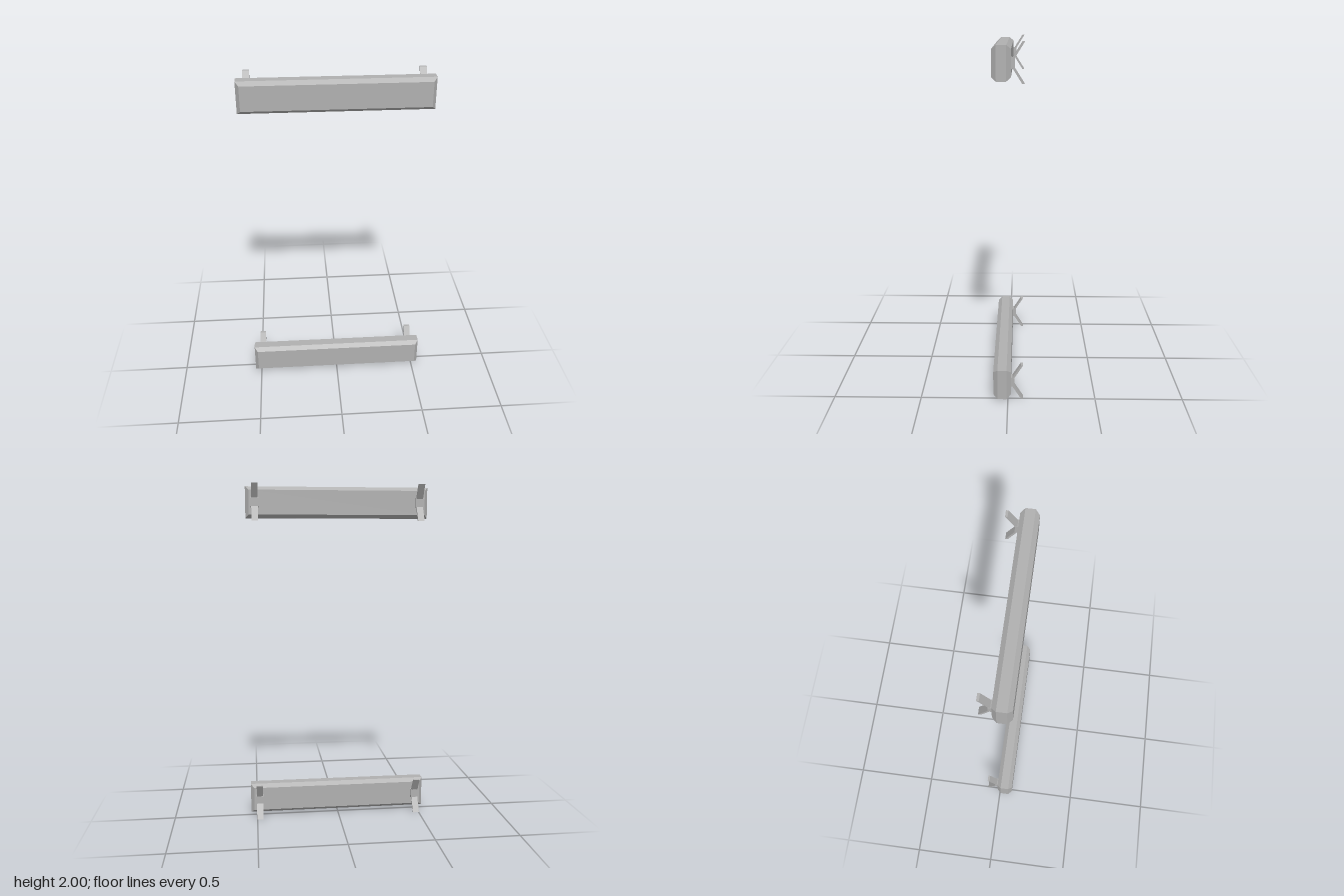
import * as THREE from 'three';

const metal = new THREE.MeshStandardMaterial({ color: 0xb0b0b0 });
metal.name = 'grey metal';

// Extrudes a (z, y) profile along x, centred on x = 0
function extrudeAlongX(points, width) {
  const shape = new THREE.Shape(points.map(([z, y]) => new THREE.Vector2(-z, y)));
  const geometry = new THREE.ExtrudeGeometry(shape, { depth: width, bevelEnabled: false });
  return geometry.translate(0, 0, -width / 2).rotateY(Math.PI / 2);
}

// Bar with chamfered front and back rims
function barGeometry() {
  const w = 0.517, h = 0.07;
  const face = new THREE.Shape([
    new THREE.Vector2(-w, -h), new THREE.Vector2(w, -h),
    new THREE.Vector2(w, h), new THREE.Vector2(-w, h),
  ]);
  return new THREE.ExtrudeGeometry(face, {
    depth: 0.052, bevelEnabled: true, bevelSize: 0.02, bevelThickness: 0.024, bevelSegments: 1,
  }).translate(0, 0, 0.007);
}

function part(name, geometry) {
  const mesh = new THREE.Mesh(geometry, metal);
  mesh.name = name;
  return mesh;
}

// Mounting clip: a small pad with two splayed legs
function clip() {
  const group = new THREE.Group();
  group.name = 'clip';
  group.add(part('clipPad', extrudeAlongX(
    [[-0.017, -0.03], [-0.017, 0.03], [-0.037, 0.023], [-0.037, -0.023]], 0.044)));
  const leg = [[-0.017, 0.015], [-0.074, 0.105], [-0.087, 0.105], [-0.03, 0.015]];
  group.add(part('upperLeg', extrudeAlongX(leg, 0.038)));
  const lower = part('lowerLeg', extrudeAlongX(leg.map(([z, y]) => [z, -y]), 0.038));
  group.add(lower);
  return group;
}

export function createModel() {
  const model = new THREE.Group();
  model.name = 'barPair';
  // Two identical bars, one low and one high
  for (const [name, y] of [['lowerBar', 0.105], ['upperBar', 1.895]]) {
    const assembly = new THREE.Group();
    assembly.name = name;
    assembly.position.y = y;
    assembly.add(part('bar', barGeometry()));
    for (const side of [-1, 1]) {
      const c = clip();
      c.position.x = side * 0.483;
      assembly.add(c);
    }
    model.add(assembly);
  }
  return model;
}
